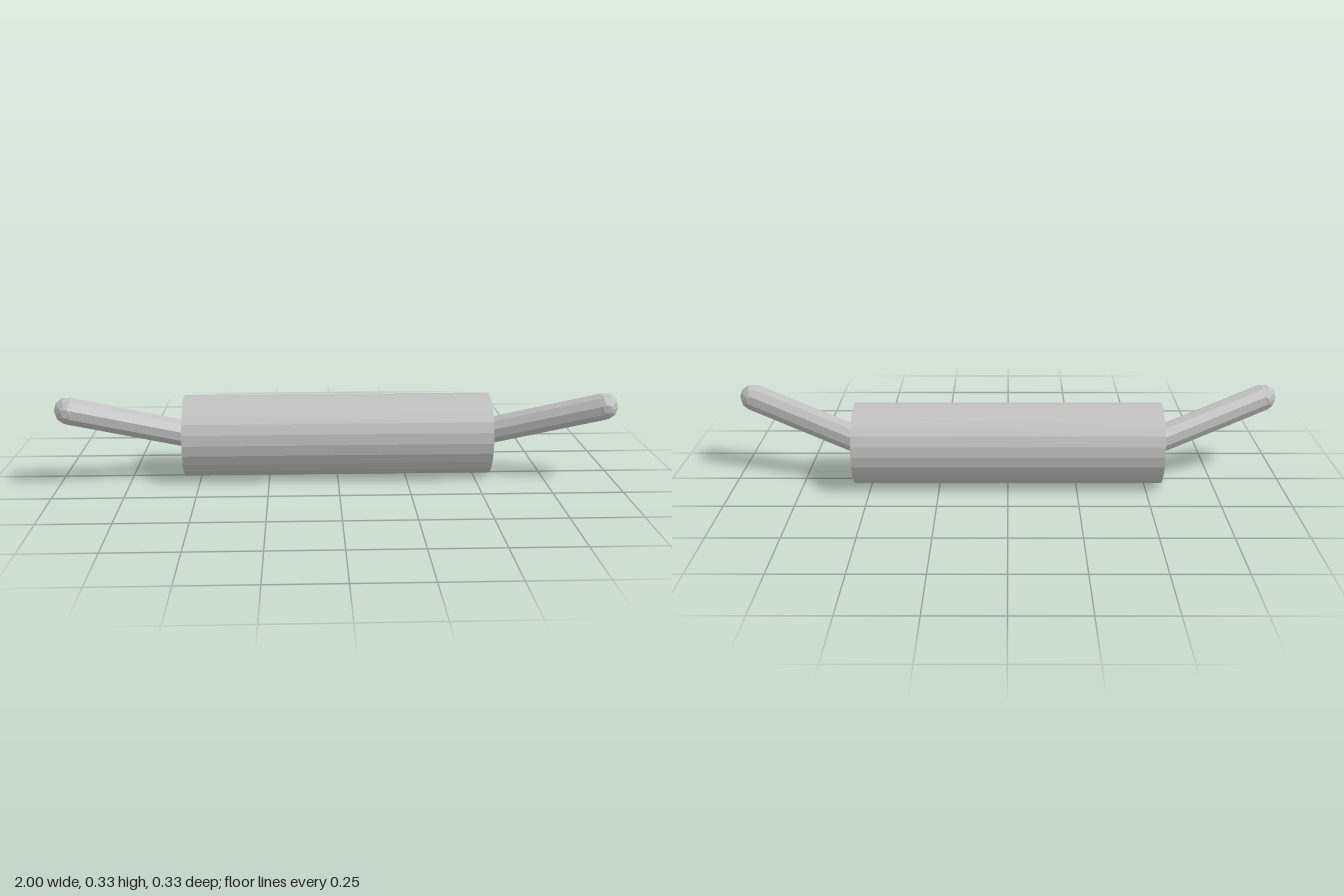
import * as THREE from 'three';

const SIDES = 10;
const R = 0.05;                                  // handle radius
const AXIS = new THREE.Vector3(0, 0.148, -0.015); // centre of the roller

// Turns a y-axis solid so its axis runs along z with corners on x
function alongZ(geometry) {
  return geometry.rotateX(Math.PI / 2).rotateZ(Math.PI / 2);
}

function addMesh(group, name, geometry, material, position) {
  const mesh = new THREE.Mesh(geometry, material);
  mesh.name = name;
  mesh.position.copy(position);
  group.add(mesh);
  return mesh;
}

// Faceted ball with flat poles
function ballGeometry() {
  const points = [18, 54, 90, 126, 162].map((deg) => {
    const a = THREE.MathUtils.degToRad(deg);
    return new THREE.Vector2(R * Math.sin(a), -R * Math.cos(a));
  });
  points.unshift(new THREE.Vector2(0, points[0].y));
  points.push(new THREE.Vector2(0, points[points.length - 1].y));
  return alongZ(new THREE.LatheGeometry(points, SIDES));
}

export function createModel() {
  const model = new THREE.Group();
  model.name = 'roller';
  const grey = new THREE.MeshStandardMaterial({ color: 0xc0c0c0, flatShading: true });
  grey.name = 'grey';

  // Roller body
  const body = new THREE.CylinderGeometry(0.148, 0.148, 1.115, 24).rotateZ(Math.PI / 2);
  addMesh(model, 'body', body, grey, AXIS);

  // Slanted handles with a ball at each tip
  for (const side of [1, -1]) {
    const handle = new THREE.Group();
    handle.name = side > 0 ? 'leftHandle' : 'rightHandle';
    const start = new THREE.Vector3(side * 0.523, AXIS.y, AXIS.z);
    const tip = new THREE.Vector3(side * 0.95, 0.279, 0.117);
    const direction = tip.clone().sub(start);
    const length = direction.length();
    const rod = addMesh(handle, 'rod', alongZ(new THREE.CylinderGeometry(R, R, length, SIDES)),
      grey, start.clone().add(tip).multiplyScalar(0.5));
    rod.quaternion.setFromUnitVectors(new THREE.Vector3(0, 0, 1), direction.normalize());
    addMesh(handle, 'tip', ballGeometry(), grey, tip);
    model.add(handle);
  }
  return model;
}
